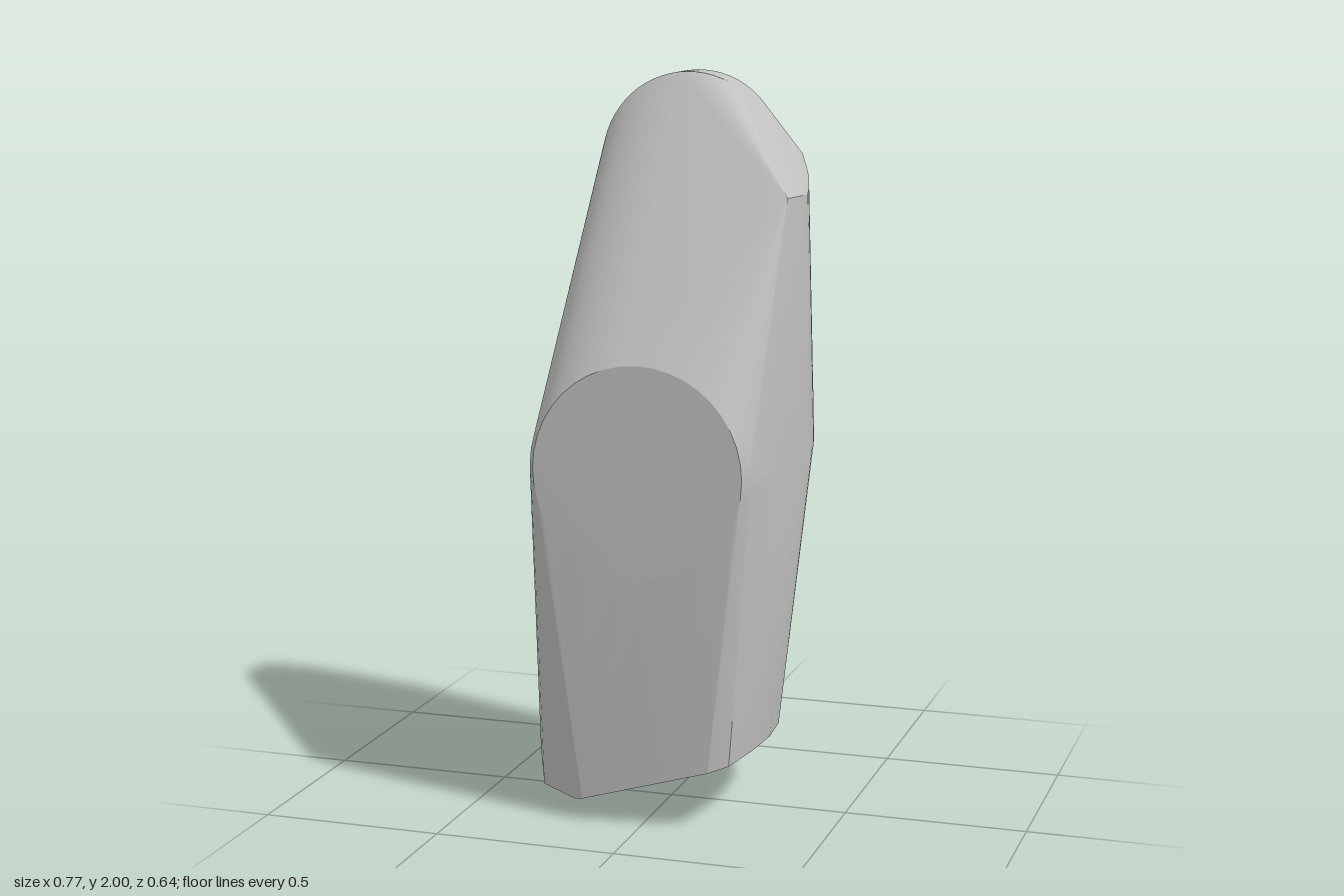
import * as THREE from 'three';
import { ConvexGeometry } from 'three/addons/geometries/ConvexGeometry.js';
import { toCreasedNormals } from 'three/addons/utils/BufferGeometryUtils.js';

const V = (x, y, z) => new THREE.Vector3(x, y, z);

// Points on an arc facing z; depth is a function of x
function arc(cx, cy, r, from, to, steps, depth) {
  return Array.from({ length: steps + 1 }, (_, i) => {
    const a = THREE.MathUtils.degToRad(from + (to - from) * i / steps);
    const x = cx + r * Math.cos(a);
    return V(x, cy + r * Math.sin(a), depth(x));
  });
}

// Smooth outline through a few points
const smooth = (points, n) => new THREE.CatmullRomCurve3(points).getPoints(n);

export function createModel() {
  const stone = new THREE.MeshStandardMaterial({ color: 0xc0c0c0 });

  // Slanted base outline as [x, z]; height follows the tilted ground cut
  const base = [
    [-0.372, -0.08], [-0.372, 0.02], [-0.19, 0.265], [-0.165, 0.28], [0.19, 0.28],
    [0.24, 0.25], [0.27, 0.12], [0.283, 0], [0.27, -0.14], [0.24, -0.24],
    [0.19, -0.3], [-0.2, -0.306],
  ].map(([x, z]) => V(x, 0.113 + 0.3 * x, z));

  const points = [
    ...base,
    // Rounded top: front and bowed back edge
    ...arc(0, 1.75, 0.25, 172, 56, 20, () => -0.155),
    ...arc(0, 1.75, 0.25, 172, 40, 22, x => -0.257 + 0.55 * x * x),
    // Round front face with a softened rim
    ...arc(0.005, 0.98, 0.288, 0, 360, 40, () => 0.322),
    ...arc(0.007, 0.98, 0.306, 0, 360, 40, () => 0.3),
    // Bulging side at mid height
    ...smooth([V(0.311, 0.98, 0.295), V(0.36, 1, 0.13), V(0.383, 1, 0.02),
      V(0.383, 1, -0.04), V(0.36, 1.03, -0.15), V(0.305, 1.1, -0.245)], 16),
    // Rim of the slanted shoulder cut
    ...smooth([V(0.345, 1.69, 0.085), V(0.36, 1.69, 0), V(0.36, 1.69, -0.06),
      V(0.335, 1.73, -0.16), V(0.3, 1.78, -0.23)], 12),
    // Back corner and lower flank
    V(-0.335, 1.2, -0.322), V(-0.335, 0.65, -0.322), V(-0.15, 1.23, -0.323),
    V(-0.385, 0.08, -0.09), V(-0.385, 0.2, -0.09), V(-0.385, 0.1, 0.01),
  ];

  const geometry = toCreasedNormals(new ConvexGeometry(points), 0.3);
  const body = new THREE.Mesh(geometry, stone);
  body.name = 'carvedBlock';

  const group = new THREE.Group();
  group.name = 'facetedBlock';
  group.add(body);
  return group;
}
